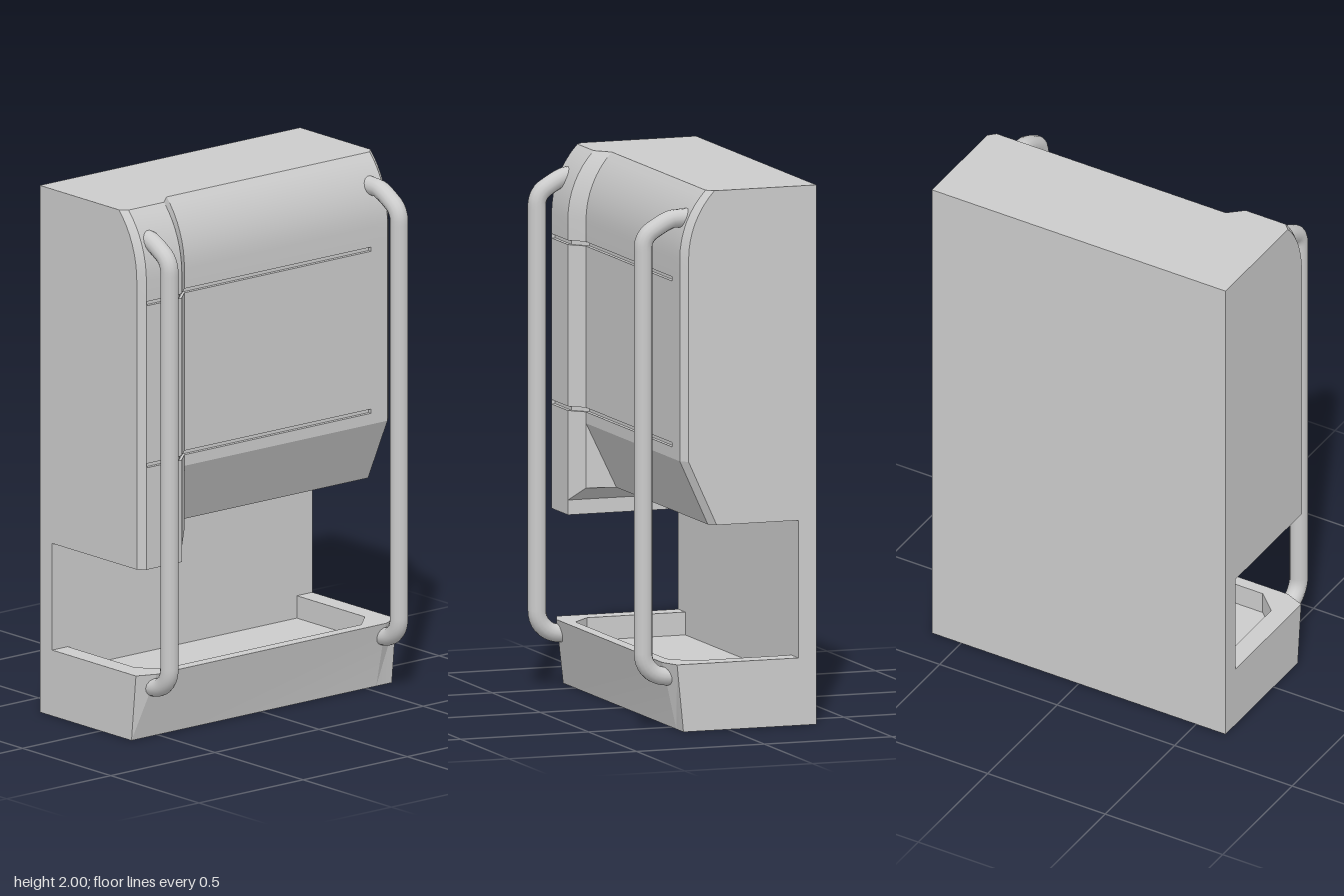
import * as THREE from 'three';
import { toCreasedNormals } from 'three/addons/utils/BufferGeometryUtils.js';

const grey = new THREE.MeshStandardMaterial({ color: 0xcccccc });

// Skin a list of equal-length rings of Vector3 and close both ends
function loft(rings) {
  const pos = [];
  const tri = (a, b, c) => {
    const area = b.clone().sub(a).cross(c.clone().sub(a)).length();
    if (area > 1e-8) for (const p of [a, b, c]) pos.push(p.x, p.y, p.z);
  };
  const n = rings[0].length;
  for (let i = 0; i < rings.length - 1; i++) {
    const r = rings[i], s = rings[i + 1];
    for (let j = 0; j < n; j++) {
      const k = (j + 1) % n;
      tri(r[j], r[k], s[k]);
      tri(r[j], s[k], s[j]);
    }
  }
  const first = rings[0], last = rings[rings.length - 1];
  for (let j = 1; j < n - 1; j++) {
    tri(first[0], first[j + 1], first[j]);
    tri(last[0], last[j], last[j + 1]);
  }
  const g = new THREE.BufferGeometry();
  g.setAttribute('position', new THREE.Float32BufferAttribute(pos, 3));
  return toCreasedNormals(g, 0.3);
}

const BACK = -0.275;

// Body cross-section: sloped underside, two grooves, rounded top edge
function section({ z, front, under, bottom, groove = 0 }) {
  const pts = [[BACK, bottom], [under, bottom], [front, 1.0]];
  for (const y of [1.05, 1.665]) {
    pts.push([front, y - 0.008], [front - groove, y - 0.008], [front - groove, y + 0.008], [front, y + 0.008]);
  }
  const R = 0.36, steps = 8;
  for (let i = 0; i <= steps; i++) {
    const t = (Math.asin(0.25 / R) * i) / steps;
    pts.push([front - R * (1 - Math.cos(t)), 1.75 + R * Math.sin(t)]);
  }
  pts.push([BACK, 2]);
  return pts.map(([x, y]) => new THREE.Vector3(x, y, z));
}

// Grab rail with two rounded bends
function rail(z) {
  const v = (x, y) => new THREE.Vector3(x, y, z);
  const path = new THREE.CurvePath();
  path.add(new THREE.LineCurve3(v(0.13, 1.895), v(0.19, 1.893)));
  path.add(new THREE.QuadraticBezierCurve3(v(0.19, 1.893), v(0.22, 1.885), v(0.265, 1.856)));
  path.add(new THREE.QuadraticBezierCurve3(v(0.265, 1.856), v(0.305, 1.835), v(0.305, 1.79)));
  path.add(new THREE.LineCurve3(v(0.305, 1.79), v(0.305, 0.29)));
  path.add(new THREE.QuadraticBezierCurve3(v(0.305, 0.29), v(0.305, 0.25), v(0.28, 0.225)));
  path.add(new THREE.QuadraticBezierCurve3(v(0.28, 0.225), v(0.255, 0.198), v(0.2, 0.198)));
  return new THREE.TubeGeometry(path, 120, 0.034, 14, false);
}

export function createModel() {
  const model = new THREE.Group();
  const add = (name, geometry) => {
    const mesh = new THREE.Mesh(geometry, grey);
    mesh.name = name;
    model.add(mesh);
    return mesh;
  };

  // Back panel standing on the base
  add('backPanel', new THREE.BoxGeometry(0.07, 1.75, 1.25)).position.set(-0.31, 1.125, 0);

  // Upper cabinet with a deeper side column at +z
  const main = { front: 0.18, under: 0.07, bottom: 0.76 };
  const column = { front: 0.23, under: 0.23, bottom: 0.655 };
  const d = 0.014;
  add('cabinet', loft([
    { z: -0.625, front: 0.155, under: 0.045, bottom: 0.76 },
    { ...main, z: -0.6 },
    { ...main, z: -0.52 },
    { ...main, z: -0.52, groove: d },
    { ...main, z: 0.35, groove: d },
    { ...main, z: 0.375, under: 0.18, groove: d },
    { ...column, z: 0.43, bottom: 0.71, groove: d },
    { ...column, z: 0.43, groove: d },
    { ...column, z: 0.6, groove: d },
    { ...column, z: 0.6 },
    { z: 0.625, front: 0.205, under: 0.205, bottom: 0.655 },
  ].map(section)));

  // Base with a sunken tray: outer bottom, outer rim, inner rim, tray floor
  const ring = (y, back, side, xSide, zFront, xFront) =>
    [[back, side], [xSide, side], [xFront, zFront], [xFront, -zFront], [xSide, -side], [back, -side]]
      .map(([x, z]) => new THREE.Vector3(x, y, z));
  add('trayBase', loft([
    ring(0, -0.345, 0.625, 0.175, 0.55, 0.175),
    ring(0.25, -0.345, 0.625, 0.2, 0.55, 0.23),
    ring(0.25, BACK, 0.55, 0.11, 0.47, 0.185),
    ring(0.165, BACK, 0.55, 0.11, 0.47, 0.185),
  ]));

  // Grab rails at both ends
  add('railLeftEnd', rail(0.553));
  add('railRightEnd', rail(-0.55));

  return model;
}
